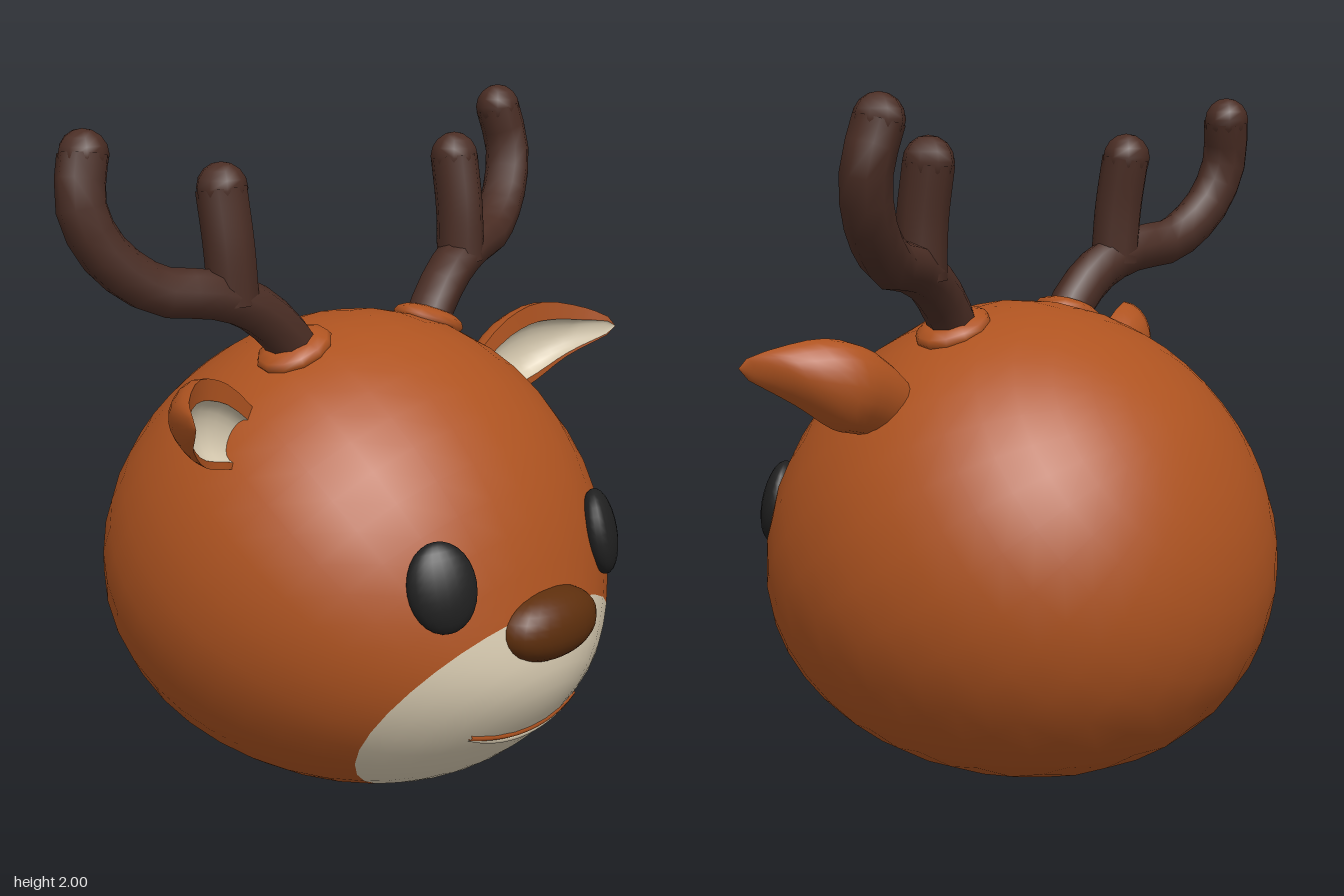
import * as THREE from 'three';
import { mergeVertices } from 'three/addons/utils/BufferGeometryUtils.js';

const V = (x, y, z) => new THREE.Vector3(x, y, z);
const curve = (pts) => new THREE.CatmullRomCurve3(pts.map((p) => V(...p)));

function material(name, color, side = THREE.FrontSide) {
  const m = new THREE.MeshStandardMaterial({ color, side });
  m.name = name;
  return m;
}

function add(parent, name, geometry, mat) {
  const mesh = new THREE.Mesh(geometry, mat);
  mesh.name = name;
  parent.add(mesh);
  return mesh;
}

// Maps a unit direction to the skin of the head, fuller on the cheeks and jaw
function headPoint(dir) {
  const full = 1 + 0.09 * dir.z ** 2 * (dir.x ** 2 + Math.min(0, dir.y) ** 2);
  const d = dir.clone().multiplyScalar(full);
  const y = 0.68 + d.y * (d.y > 0 ? 0.73 : 0.675);
  const x = 0.743 * d.x * (1 - 0.015 * THREE.MathUtils.smoothstep(d.z, 0, 0.4));
  const depth = d.z > 0 ? 0.725 * (1 - 0.15 * (y - 0.68)) : 0.76 * (1 - 0.1 * (y - 0.68));
  const bump = 0.05 * Math.max(0, d.z) * Math.exp(-(((y - 0.45) / 0.18) ** 2) - (x / 0.42) ** 2);
  return V(x, y, d.z * depth - 0.03 + bump);
}

// Point on the front of the head near a given x and y
function frontPoint(x, y) {
  const dx = x / 0.735, dy = (y - 0.68) / (y > 0.68 ? 0.73 : 0.68);
  return headPoint(V(dx, dy, Math.sqrt(Math.max(0, 1 - dx * dx - dy * dy))));
}

// Ball whose pole sits on the muzzle, so the first rings form the pale patch
function headGeometry() {
  const seg = 32, rings = 24, patch = 7;
  let g = new THREE.SphereGeometry(1, seg, rings);
  const p = g.attributes.position, split = patch / rings;
  for (let i = 0; i < p.count; i++) {
    const t = Math.acos(THREE.MathUtils.clamp(p.getY(i), -1, 1)) / Math.PI;
    const phi = Math.atan2(p.getZ(i), p.getX(i));
    const edge = THREE.MathUtils.degToRad(35 + 5 * Math.cos(phi) ** 2);
    const theta = t <= split ? (t / split) * edge : edge + ((t - split) / (1 - split)) * (Math.PI - edge);
    const d = V(Math.sin(theta) * Math.cos(phi), Math.cos(theta), Math.sin(theta) * Math.sin(phi));
    d.applyAxisAngle(V(1, 0, 0), THREE.MathUtils.degToRad(125));
    const q = headPoint(d);
    p.setXYZ(i, q.x, q.y, q.z);
  }
  g.deleteAttribute('uv');
  g.deleteAttribute('normal');
  g = mergeVertices(g);
  g.computeVertexNormals();
  const patchIndices = seg * 3 + (patch - 1) * seg * 6;
  g.addGroup(0, patchIndices, 0);
  g.addGroup(patchIndices, g.index.count - patchIndices, 1);
  return g;
}

// Skins a list of equal-length cross-sections
function loft(rows) {
  const n = rows[0].length, index = [];
  for (let i = 0; i < rows.length - 1; i++) {
    for (let j = 0; j < n - 1; j++) {
      const a = i * n + j, b = a + n;
      index.push(a, a + 1, b, b, a + 1, b + 1);
    }
  }
  const g = new THREE.BufferGeometry().setFromPoints(rows.flat());
  g.setIndex(index);
  g.computeVertexNormals();
  return g;
}

// Cupped leaf: outer shell with a thick rim, and a pale lining
function buildEar(parent, coat, cream) {
  const top = curve([[0.45, 1.19, 0.02], [0.6, 1.31, 0.045], [0.73, 1.35, 0.08], [0.85, 1.325, 0.165], [0.888, 1.3, 0.22]]);
  const low = curve([[0.54, 1.06, 0.05], [0.63, 1.08, 0.07], [0.71, 1.1, 0.075], [0.8, 1.17, 0.125], [0.882, 1.24, 0.22]]);
  const tip = V(0.897, 1.272, 0.242);
  const shell = [], upperRim = [], lowerRim = [], lining = [];
  const arc = (a, b, depth) => Array.from({ length: 11 }, (_, j) => {
    const ang = (j / 10) * Math.PI;
    const q = a.clone().lerp(b, (1 - Math.cos(ang)) / 2);
    q.z -= depth * Math.sin(ang);
    return q;
  });
  for (let i = 0; i <= 13; i++) {
    const t = i / 12, last = i === 13;
    const a = last ? tip : top.getPoint(t), b = last ? tip : low.getPoint(t);
    const depth = last ? 0 : 0.11 * Math.sqrt(Math.max(0.06, 1 - (2 * t - 0.85) ** 2 / 1.35));
    const ia = a.clone().lerp(b, 0.24), ib = b.clone().lerp(a, 0.09);
    shell.push(arc(a, b, depth));
    upperRim.push([ia, a]);
    lowerRim.push([b, ib]);
    lining.push(arc(ib, ia, depth * 0.45));
  }
  add(parent, 'earShell', loft(shell), coat);
  add(parent, 'earUpperRim', loft(upperRim), coat);
  add(parent, 'earLowerRim', loft(lowerRim), coat);
  add(parent, 'earLining', loft(lining), cream);
}

// Round-ended bar along a path
function bar(parent, name, pts, r, mat) {
  const path = curve(pts);
  add(parent, name, new THREE.TubeGeometry(path, 14, r, 9), mat);
  add(parent, name + 'Tip', new THREE.SphereGeometry(r, 9, 8), mat).position.copy(path.getPoint(1));
}

export function createModel() {
  const coat = material('coat', 0xae5320, THREE.DoubleSide);
  const cream = material('cream', 0xd8cbb1, THREE.DoubleSide);
  const noseBrown = material('noseBrown', 0x5e2f0d);
  const eyeBlack = material('eyeBlack', 0x202020);
  const antlerBrown = material('antlerBrown', 0x4a2d24);

  const model = new THREE.Group();
  model.name = 'deerHead';
  add(model, 'head', headGeometry(), [cream, coat]);

  // Nose: a ball squared off slightly
  const nose = new THREE.SphereGeometry(1, 24, 16);
  const np = nose.attributes.position;
  for (let i = 0; i < np.count; i++) {
    const [x, y, z] = [np.getX(i), np.getY(i), np.getZ(i)].map((c) => Math.sign(c) * Math.abs(c) ** 0.94);
    np.setXYZ(i, x * 0.185, y * 0.101, z * 0.1);
  }
  nose.computeVertexNormals();
  add(model, 'nose', nose, noseBrown).position.set(0, 0.625, 0.69);

  // Smile line with a soft lip under it
  const smile = (drop, out) => new THREE.CatmullRomCurve3(Array.from({ length: 13 }, (_, i) => {
    const x = -0.23 + (0.46 * i) / 12;
    const q = frontPoint(x, 0.3 + 0.033 * (x / 0.23) ** 2 - drop * (1 - (x / 0.235) ** 2));
    q.z += out;
    return q;
  }));
  add(model, 'mouthLine', new THREE.TubeGeometry(smile(0, -0.002), 24, 0.009, 6), coat);
  add(model, 'lowerLip', new THREE.TubeGeometry(smile(0.017, -0.005), 24, 0.012, 6), cream);

  for (const side of [1, -1]) {
    const half = new THREE.Group();
    half.name = side > 0 ? 'leftSide' : 'rightSide';
    half.scale.x = side;
    model.add(half);

    // Eye: flattened ball leaning back with the face
    const eye = add(half, 'eye', new THREE.SphereGeometry(1, 20, 14), eyeBlack);
    eye.scale.set(0.099, 0.127, 0.05);
    eye.rotation.set(-0.24, 0.55, 0);
    eye.position.set(0.352, 0.795, 0.605);

    buildEar(half, coat, cream);

    // Antler with its low mound, main beam and upright prong
    const mound = add(half, 'antlerMound', new THREE.SphereGeometry(1, 12, 8), coat);
    mound.scale.set(0.12, 0.042, 0.105);
    mound.rotation.z = -0.39;
    mound.position.set(0.287, 1.348, -0.01);
    bar(half, 'antlerBeam', [[0.27, 1.33, -0.01], [0.33, 1.41, -0.02], [0.43, 1.49, -0.04], [0.55, 1.535, -0.07],
      [0.7, 1.56, -0.12], [0.835, 1.67, -0.17], [0.885, 1.8, -0.2], [0.857, 1.931, -0.22]], 0.07, antlerBrown);
    bar(half, 'antlerProng', [[0.48, 1.5, -0.05], [0.485, 1.66, -0.06], [0.487, 1.818, -0.085]], 0.073, antlerBrown);
  }
  return model;
}
